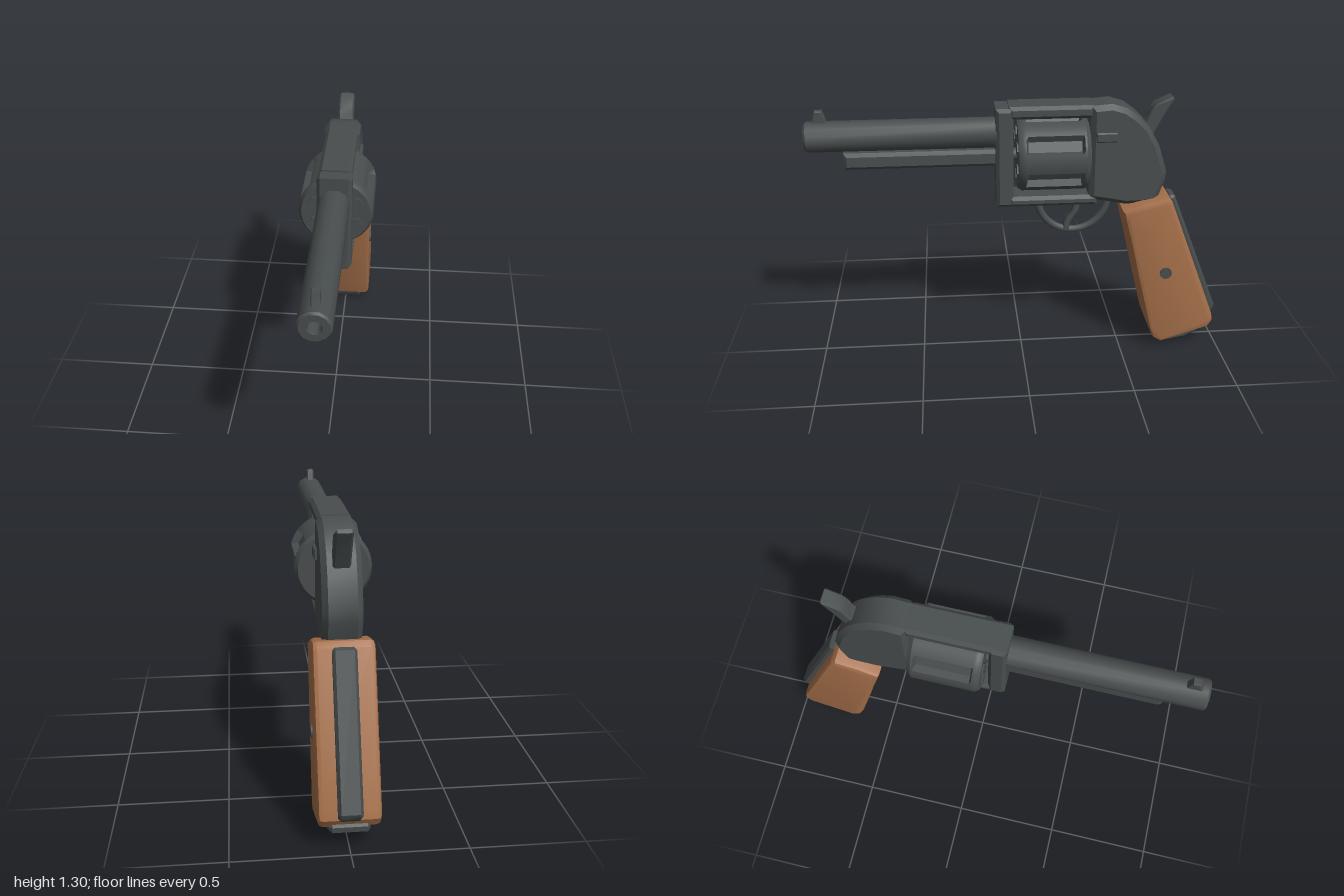
import * as THREE from 'three';
import { toCreasedNormals, mergeVertices } from 'three/addons/utils/BufferGeometryUtils.js';

const steel = new THREE.MeshStandardMaterial({ color: 0x484d4d });
steel.name = 'gunmetal';
const wood = new THREE.MeshStandardMaterial({ color: 0xa6704a });
wood.name = 'walnut';

const BARREL_Y = 1.145, DRUM_Y = 1.035;

export function createModel() {
  const group = new THREE.Group();

  const add = (name, geometry, material = steel, crease = 0.6) => {
    const mesh = new THREE.Mesh(toCreasedNormals(geometry, crease), material);
    mesh.name = name;
    group.add(mesh);
    return mesh;
  };

  // Side outline of [z, y] points, extruded across x with chamfered edges
  const slab = (name, points, halfWidth, bevel, material = steel, segments = 1) => {
    const shape = new THREE.Shape(points.map(([z, y]) => new THREE.Vector2(-z, y)));
    const geometry = new THREE.ExtrudeGeometry(shape, {
      depth: 2 * (halfWidth - bevel), bevelEnabled: true, bevelThickness: bevel,
      bevelSize: bevel, bevelOffset: -bevel, bevelSegments: segments,
    });
    geometry.translate(0, 0, -(halfWidth - bevel)).rotateY(Math.PI / 2);
    return add(name, geometry, material);
  };
  const bar = (name, z0, z1, y0, y1, halfWidth, bevel) =>
    slab(name, [[z1, y0], [z0, y0], [z0, y1], [z1, y1]], halfWidth, bevel);

  // Profile of [radius, z] points turned about the z axis
  const turned = (profile, sides, y, start = 0) =>
    new THREE.LatheGeometry(profile.map(([r, z]) => new THREE.Vector2(r, z)), sides, start)
      .rotateX(Math.PI / 2).translate(0, y, 0);

  // Barrel with a bore, sight and ejector rod housing
  add('barrel', turned([[0.072, 0.08], [0.072, 0.99], [0.064, 1], [0.032, 1], [0.028, 0.97], [0.028, 0.8], [0, 0.8]],
    12, BARREL_Y, Math.PI / 12));
  slab('frontSight', [[0.97, 1.2], [0.89, 1.2], [0.905, 1.25], [0.912, 1.27], [0.945, 1.27], [0.955, 1.235]], 0.018, 0.005);
  bar('ejectorHousing', 0.83, 0.08, 0.988, 1.068, 0.042, 0.016);

  // Frame around the drum
  bar('frameFront', 0.122, 0.04, 0.79, 1.275, 0.08, 0.016);
  bar('topStrap', 0.06, -0.335, 1.222, 1.283, 0.076, 0.016);
  bar('bottomStrap', 0.06, -0.36, 0.79, 0.84, 0.08, 0.016);
  slab('frameRear', [[-0.32, 1.278], [-0.42, 1.287], [-0.49, 1.265], [-0.545, 1.225], [-0.6, 1.17], [-0.65, 1.08],
    [-0.692, 0.95], [-0.688, 0.9], [-0.65, 0.79], [-0.5, 0.785], [-0.32, 0.82]], 0.086, 0.024);
  const latch = bar('cylinderLatch', -0.345, -0.445, 1.11, 1.157, 0.02, 0.006);
  latch.position.x = 0.08;

  // Drum: turned body whose flutes are pressed in every 60 degrees
  const drum = turned([[0, -0.315], [0.16, -0.315], [0.175, -0.295], [0.175, -0.285], [0.175, -0.275], [0.175, -0.025],
    [0.175, -0.015], [0.175, 0], [0.162, 0.02], [0, 0.02]], 72, 0);
  const pos = drum.attributes.position;
  for (let i = 0; i < pos.count; i++) {
    const x = pos.getX(i), y = pos.getY(i), z = pos.getZ(i);
    const angle = THREE.MathUtils.radToDeg(Math.atan2(y, x));
    const offset = THREE.MathUtils.euclideanModulo(angle, 60) - 30;
    if (Math.abs(offset) < 12 && z < -0.02 && z > -0.28) {
      const radius = 0.142 / Math.cos(THREE.MathUtils.degToRad(offset));
      pos.setX(i, x * radius / 0.175);
      pos.setY(i, y * radius / 0.175);
    }
  }
  drum.deleteAttribute('normal');
  drum.deleteAttribute('uv');
  add('drum', mergeVertices(drum)).position.y = DRUM_Y;
  add('drumAxle', new THREE.CylinderGeometry(0.03, 0.03, 0.1, 12).rotateX(Math.PI / 2)).position.set(0, DRUM_Y, 0.03);
  for (let i = 0; i < 6; i++) {
    const a = Math.PI / 6 + i * Math.PI / 3;
    const chamber = add('chamber', new THREE.CylinderGeometry(0.034, 0.034, 0.009, 6).rotateX(Math.PI / 2).rotateZ(Math.PI / 6));
    chamber.position.set(0.108 * Math.cos(a), DRUM_Y + 0.108 * Math.sin(a), 0.023);
  }

  // Hammer, trigger and guard
  slab('hammer', [[-0.56, 1.16], [-0.597, 1.2], [-0.61, 1.24], [-0.635, 1.272], [-0.71, 1.305], [-0.717, 1.29],
    [-0.67, 1.21], [-0.635, 1.14], [-0.61, 1.09]], 0.038, 0.008);
  const tube = (name, points, radius) => add(name, new THREE.TubeGeometry(
    new THREE.CatmullRomCurve3(points.map(([z, y]) => new THREE.Vector3(0, y, z))), 28, radius, 8), steel, 0.9);
  const guard = [];
  for (let i = 0; i <= 10; i++) {
    const a = Math.PI * i / 10;
    guard.push([-0.253 + 0.172 * Math.cos(a), 0.805 - 0.172 * Math.sin(a)]);
  }
  tube('triggerGuard', guard, 0.018);
  slab('trigger', [[-0.24, 0.81], [-0.255, 0.765], [-0.25, 0.735], [-0.225, 0.705], [-0.208, 0.67], [-0.21, 0.635],
    [-0.235, 0.635], [-0.243, 0.68], [-0.262, 0.71], [-0.285, 0.745], [-0.29, 0.81]], 0.021, 0.005);

  // Grip with steel backstrap, butt cap and a screw on its left side
  slab('grip', [[-0.485, 0.765], [-0.495, 0.72], [-0.53, 0.59], [-0.575, 0.4], [-0.645, 0.12], [-0.668, 0.06],
    [-0.71, 0.035], [-0.95, 0.112], [-0.972, 0.15], [-0.965, 0.185], [-0.72, 0.81], [-0.695, 0.832], [-0.58, 0.808]],
  0.134, 0.022, wood, 2);
  slab('backstrap', [[-0.7, 0.79], [-0.725, 0.815], [-0.75, 0.81], [-1, 0.19], [-0.992, 0.165], [-0.965, 0.14], [-0.94, 0.17]],
    0.052, 0.012);
  slab('buttCap', [[-0.69, 0.055], [-0.695, 0.025], [-0.71, 0.004], [-0.845, 0.028], [-0.965, 0.09], [-0.968, 0.115],
    [-0.94, 0.14]], 0.086, 0.012);
  add('gripScrew', new THREE.CylinderGeometry(0.03, 0.03, 0.016, 12).rotateZ(Math.PI / 2)).position.set(0.133, 0.435, -0.708);

  return group;
}
